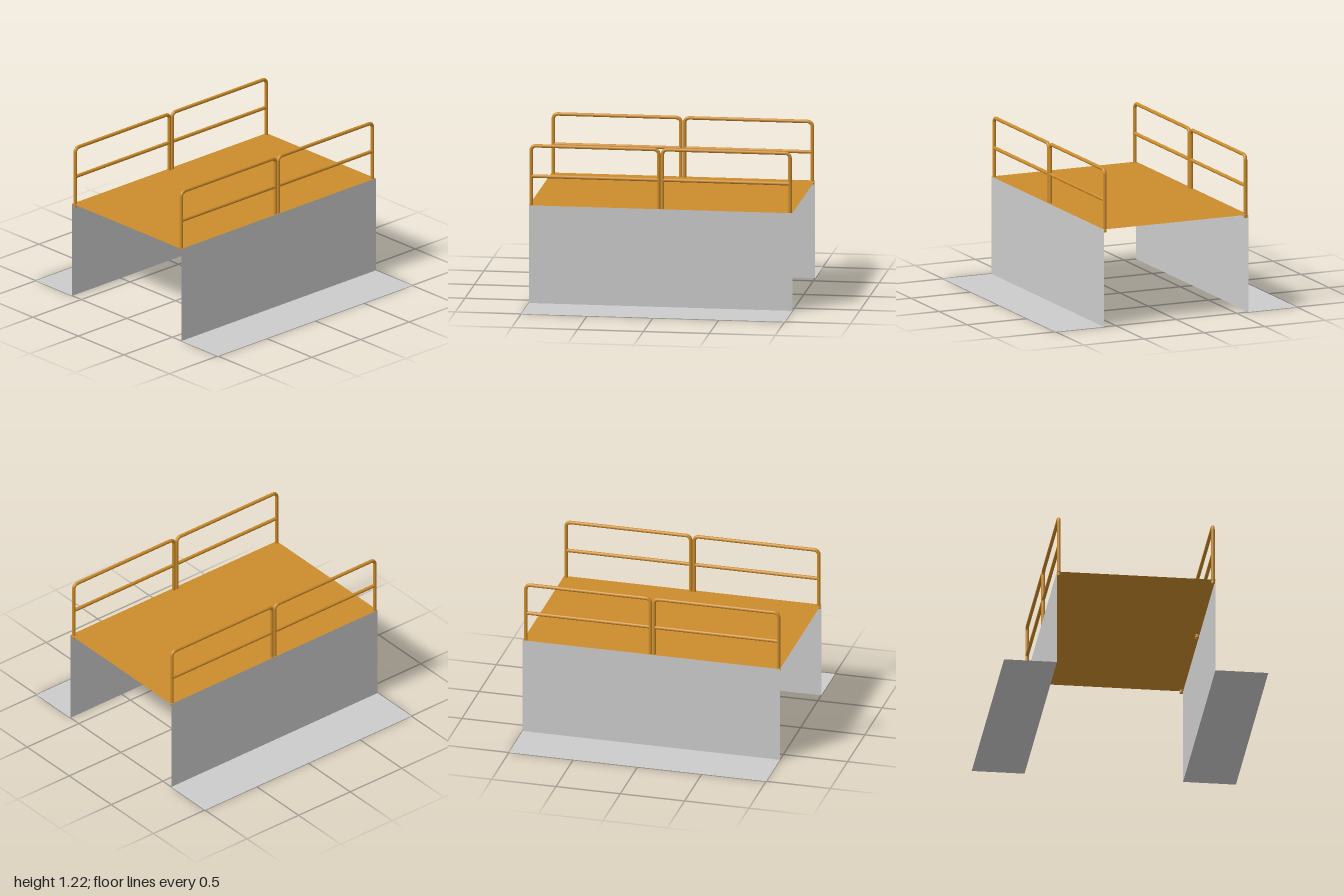
import * as THREE from 'three';

const TUBE = 0.0135; // rail radius
const BEND = 0.035; // elbow radius on the rail centreline
const DECK_Y = 0.75, WALL_Z = 0.6;
const POST_BOTTOM = 0.725, TOP_Y = 1.205, MID_Y = 0.972;
const FRAME_HALF = 0.484; // half the distance between a frame's posts

export function createModel() {
  const model = new THREE.Group();
  const orange = new THREE.MeshStandardMaterial({ color: 0xcc8c2c });
  const orangeSheet = new THREE.MeshStandardMaterial({ color: 0xcc8c2c, side: THREE.DoubleSide });
  const greySheet = new THREE.MeshStandardMaterial({ color: 0xcccccc, side: THREE.DoubleSide });

  const add = (parent, name, geometry, material, x, y, z) => {
    const mesh = new THREE.Mesh(geometry, material);
    mesh.name = name;
    mesh.position.set(x, y, z);
    parent.add(mesh);
    return mesh;
  };

  // Thin deck spanning the two walls
  const flat = (depth) => new THREE.PlaneGeometry(2, depth).rotateX(-Math.PI / 2);
  add(model, 'deck', flat(2 * WALL_Z), orangeSheet, 0, DECK_Y, 0);

  // Upright walls with ground strips reaching outwards
  for (const side of [1, -1]) {
    const wall = new THREE.PlaneGeometry(2, DECK_Y);
    if (side < 0) wall.rotateY(Math.PI);
    add(model, 'sideWall', wall, greySheet, 0, DECK_Y / 2, side * WALL_Z);
    add(model, 'groundStrip', flat(1 - WALL_Z), greySheet, 0, 0, side * (1 + WALL_Z) / 2);
  }

  // One guard rail frame: two posts, rounded elbows, top rail and middle rail
  const bar = (length) => new THREE.CylinderGeometry(TUBE, TUBE, length, 16);
  const makeFrame = () => {
    const frame = new THREE.Group();
    frame.name = 'guardRail';
    const postTop = TOP_Y - BEND;
    for (const side of [1, -1]) {
      add(frame, 'post', bar(postTop - POST_BOTTOM), orange,
        side * FRAME_HALF, (postTop + POST_BOTTOM) / 2, 0);
      const elbow = new THREE.TorusGeometry(BEND, TUBE, 16, 10, Math.PI / 2);
      if (side < 0) elbow.rotateZ(Math.PI / 2);
      add(frame, 'elbow', elbow, orange, side * (FRAME_HALF - BEND), postTop, 0);
    }
    const topLength = 2 * (FRAME_HALF - BEND);
    add(frame, 'topRail', bar(topLength).rotateZ(Math.PI / 2), orange, 0, TOP_Y, 0);
    add(frame, 'middleRail', bar(2 * FRAME_HALF).rotateZ(Math.PI / 2), orange, 0, MID_Y, 0);
    return frame;
  };

  // Two frames end to end along each edge of the deck
  for (const z of [0.583, -0.583]) {
    for (const x of [-0.501, 0.496]) {
      const frame = makeFrame();
      frame.position.set(x, 0, z);
      model.add(frame);
    }
  }
  return model;
}
